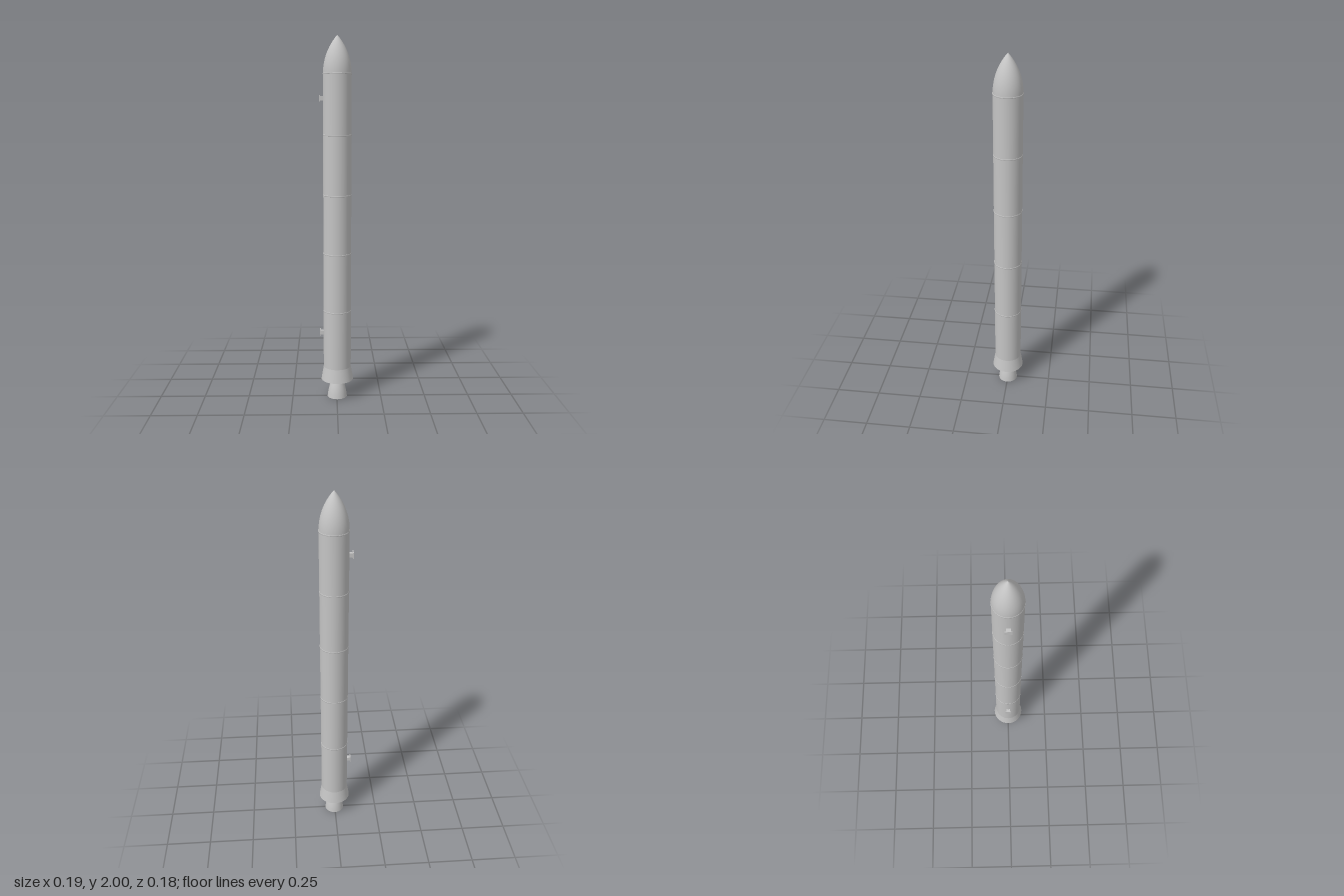
import * as THREE from 'three';

export function createModel() {
  const model = new THREE.Group();
  model.name = 'boosterRocket';

  const shell = new THREE.MeshStandardMaterial({ color: 0xc4c4c4, side: THREE.DoubleSide });
  shell.name = 'light grey shell';

  const SIDES = 32;
  const R = 0.0765; // body radius
  const CX = 0.0025; // axis shifted so that body plus brackets is centred

  const add = (name, geometry, x, y, z = 0) => {
    const mesh = new THREE.Mesh(geometry, shell);
    mesh.name = name;
    mesh.position.set(x, y, z);
    model.add(mesh);
    return mesh;
  };
  const lathe = (points) =>
    new THREE.LatheGeometry(points.map(([r, y]) => new THREE.Vector2(r, y)), SIDES);

  // Main cylindrical casing
  const bodyBottom = 0.18, bodyTop = 1.8;
  add('casing', new THREE.CylinderGeometry(R, R, bodyTop - bodyBottom, SIDES, 1, true),
    CX, (bodyTop + bodyBottom) / 2);

  // Pointed ogive nose: circular arc tangent to the casing
  const noseLength = 0.2;
  const arcRadius = (R * R + noseLength * noseLength) / (2 * R);
  const nose = [];
  for (let i = 0; i <= 14; i++) {
    const y = (noseLength * i) / 14;
    const r = Math.sqrt(arcRadius * arcRadius - y * y) - (arcRadius - R);
    nose.push([Math.max(r, 0), y]);
  }
  add('noseCone', lathe(nose), CX, bodyTop);

  // Thin bands at the segment joints
  [0.505, 0.83, 1.153, 1.477, 1.8].forEach((y, i) => {
    const band = lathe([[R - 0.001, -0.004], [R + 0.0015, -0.003], [R + 0.0015, 0.003], [R - 0.001, 0.004]]);
    add(`jointBand${i + 1}`, band, CX, y);
  });

  // Flared aft skirt with closed base
  add('aftSkirt', new THREE.CylinderGeometry(R, 0.0895, 0.075, SIDES, 1, true), CX, 0.1425);
  const base = add('aftBase', new THREE.CircleGeometry(0.0895, SIDES), CX, 0.105);
  base.rotation.x = Math.PI / 2;

  // Open bell nozzle
  add('nozzle', lathe([
    [0.055, 0], [0.0525, 0.02], [0.049, 0.04], [0.044, 0.06],
    [0.038, 0.08], [0.029, 0.105], [0.026, 0.115],
  ]), CX, 0);

  // Attachment brackets on the right side: a stub with an end plate
  [['lower', 0.378], ['upper', 1.672]].forEach(([where, y]) => {
    add(`${where}BracketStub`, new THREE.BoxGeometry(0.022, 0.022, 0.022), -0.08, y);
    add(`${where}BracketPlate`, new THREE.BoxGeometry(0.004, 0.034, 0.035), -0.0925, y);
  });

  return model;
}
